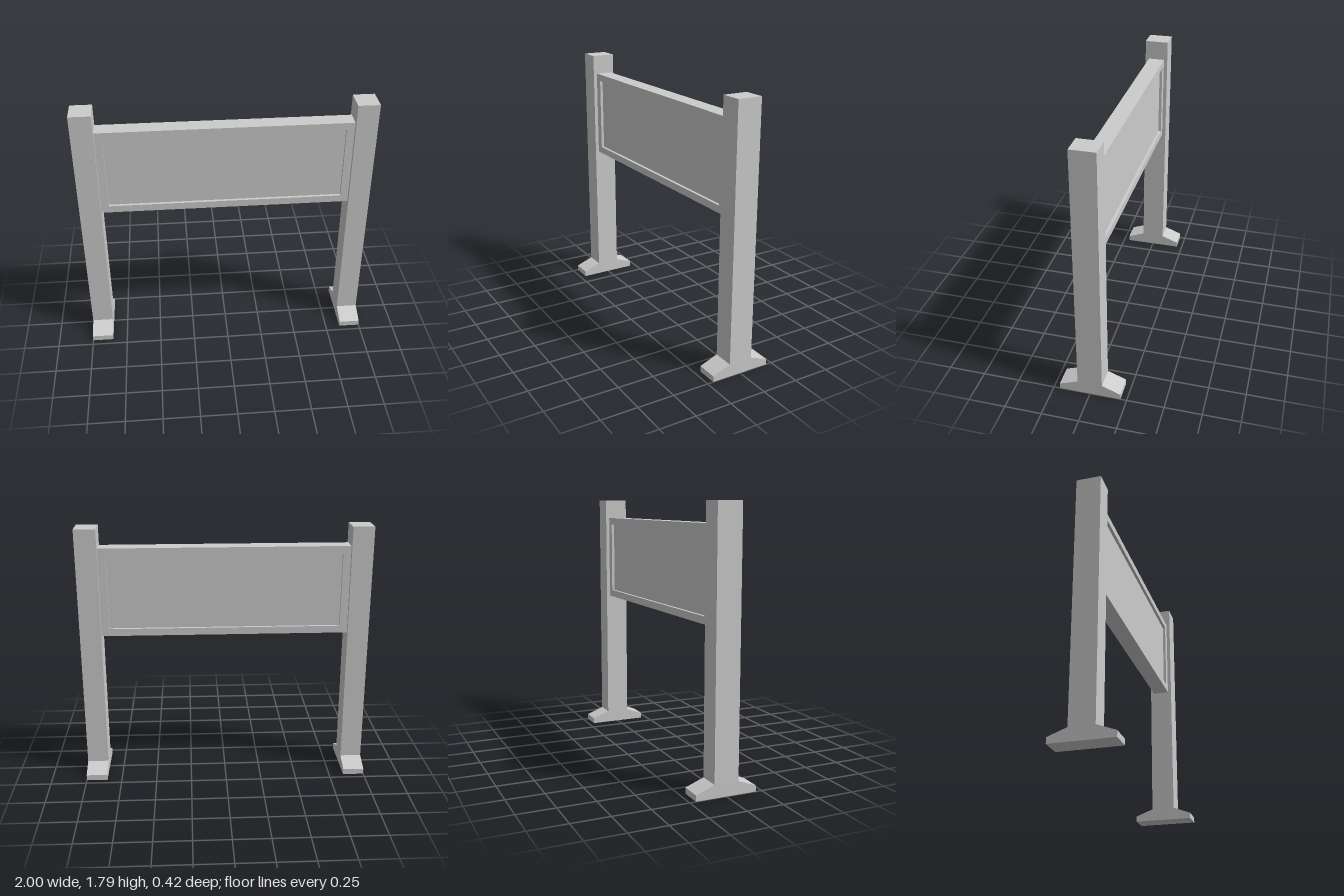
import * as THREE from 'three';

const material = new THREE.MeshStandardMaterial({ color: 0xcccccc, flatShading: true });

function addMesh(group, name, geometry) {
  const mesh = new THREE.Mesh(geometry, material);
  mesh.name = name;
  group.add(mesh);
  return mesh;
}

export function createModel() {
  const group = new THREE.Group();
  group.name = 'signboard';

  // Posts with splayed feet: one side profile, extruded across the post width
  const postWidth = 0.147;
  const half = [[0.208, 0], [0.208, 0.04], [0.083, 0.087], [0.083, 1.79]];
  const profile = [...half, ...half.map(([z, y]) => [-z, y]).reverse()];
  const postShape = new THREE.Shape(profile.map(([z, y]) => new THREE.Vector2(z, y)));
  const postGeometry = new THREE.ExtrudeGeometry(postShape, { depth: postWidth, bevelEnabled: false })
    .translate(0, 0, -postWidth / 2)
    .rotateY(Math.PI / 2);
  for (const [name, side] of [['leftPost', 1], ['rightPost', -1]]) {
    addMesh(group, name, postGeometry).position.x = side * (1 - postWidth / 2);
  }

  // Board frame: rectangle with a rectangular opening
  const rectangle = (Type, x, y0, y1) => new Type([
    new THREE.Vector2(-x, y0), new THREE.Vector2(x, y0),
    new THREE.Vector2(x, y1), new THREE.Vector2(-x, y1),
  ]);
  const frameDepth = 0.115;
  const frameShape = rectangle(THREE.Shape, 0.853, 1.04, 1.655);
  frameShape.holes.push(rectangle(THREE.Path, 0.8, 1.09, 1.605));
  addMesh(group, 'boardFrame',
    new THREE.ExtrudeGeometry(frameShape, { depth: frameDepth, bevelEnabled: false })
      .translate(0, 0, -frameDepth / 2));

  // Panel recessed on both faces of the frame
  const recess = 0.02;
  addMesh(group, 'boardPanel', new THREE.BoxGeometry(1.6, 0.515, frameDepth - 2 * recess))
    .position.y = 1.3475;

  return group;
}
